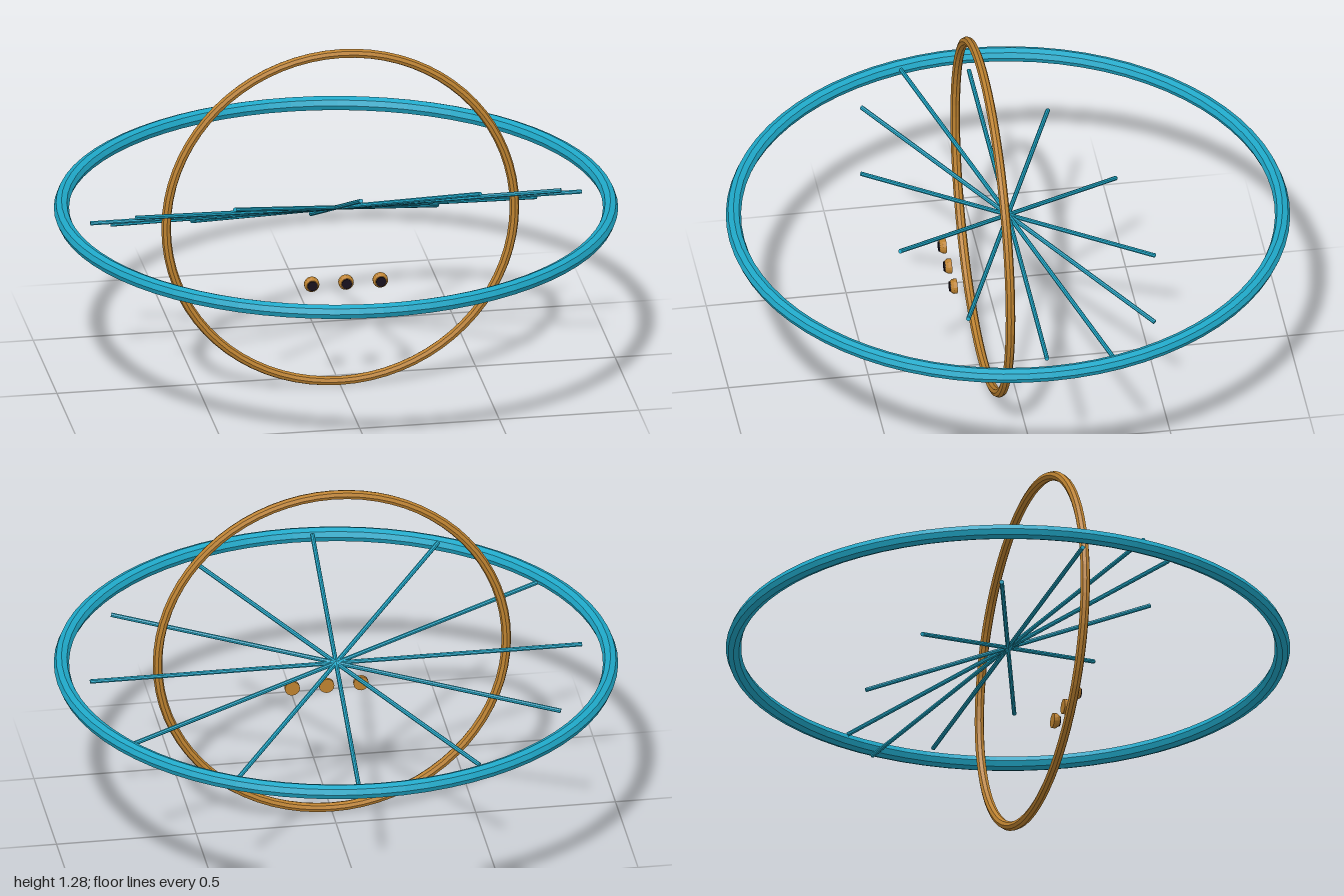
import * as THREE from 'three';

const CENTER_Y = 0.65;

function material(name, color) {
  const m = new THREE.MeshStandardMaterial({ color });
  m.name = name;
  return m;
}

export function createModel() {
  const model = new THREE.Group();
  model.name = 'ringedSpokeModel';
  const blue = material('cyanBlue', 0x1fa8c8);
  const brass = material('brass', 0xbd8230);
  const dark = material('darkCenter', 0x17101c);
  blue.flatShading = brass.flatShading = true;

  const add = (parent, name, geometry, mat) => {
    const mesh = new THREE.Mesh(geometry, mat);
    mesh.name = name;
    parent.add(mesh);
    return mesh;
  };

  // Large horizontal ring
  const outer = add(model, 'horizontalRing', new THREE.TorusGeometry(0.97, 0.027, 8, 72), blue);
  outer.rotation.x = Math.PI / 2;
  outer.position.y = CENTER_Y;

  // Upright ring, a little in front of the middle
  const upright = add(model, 'uprightRing', new THREE.TorusGeometry(0.624, 0.017, 8, 72), brass);
  upright.position.set(0, CENTER_Y, 0.09);

  // Spokes end on an ellipse in a plane that rises towards the front
  const spokes = new THREE.Group();
  spokes.name = 'spokes';
  spokes.position.y = CENTER_Y;
  model.add(spokes);
  const up = new THREE.Vector3(0, 1, 0);
  for (let i = 0; i < 12; i++) {
    const a = (i / 12) * Math.PI * 2;
    const tip = new THREE.Vector3(0.88 * Math.cos(a), 0.238 * Math.sin(a), 0.526 * Math.sin(a));
    const spoke = add(spokes, 'spoke', new THREE.CylinderGeometry(0.008, 0.008, tip.length(), 8), blue);
    spoke.position.copy(tip).multiplyScalar(0.5);
    spoke.quaternion.setFromUnitVectors(up, tip.clone().normalize());
  }

  // Three small studs with dark fronts
  for (const x of [-0.123, 0, 0.123]) {
    const stud = new THREE.Group();
    stud.name = 'stud';
    stud.position.set(x, 0.45, 0.203);
    stud.rotation.x = Math.PI / 2;
    model.add(stud);
    const base = add(stud, 'studBase', new THREE.CylinderGeometry(0.027, 0.027, 0.013, 16), brass);
    base.position.y = 0.0065;
    const bevel = add(stud, 'studBevel', new THREE.CylinderGeometry(0.02, 0.027, 0.01, 16), brass);
    bevel.position.y = 0.018;
    const center = add(stud, 'studCenter', new THREE.CylinderGeometry(0.018, 0.018, 0.004, 16), dark);
    center.position.y = 0.025;
  }

  return model;
}
